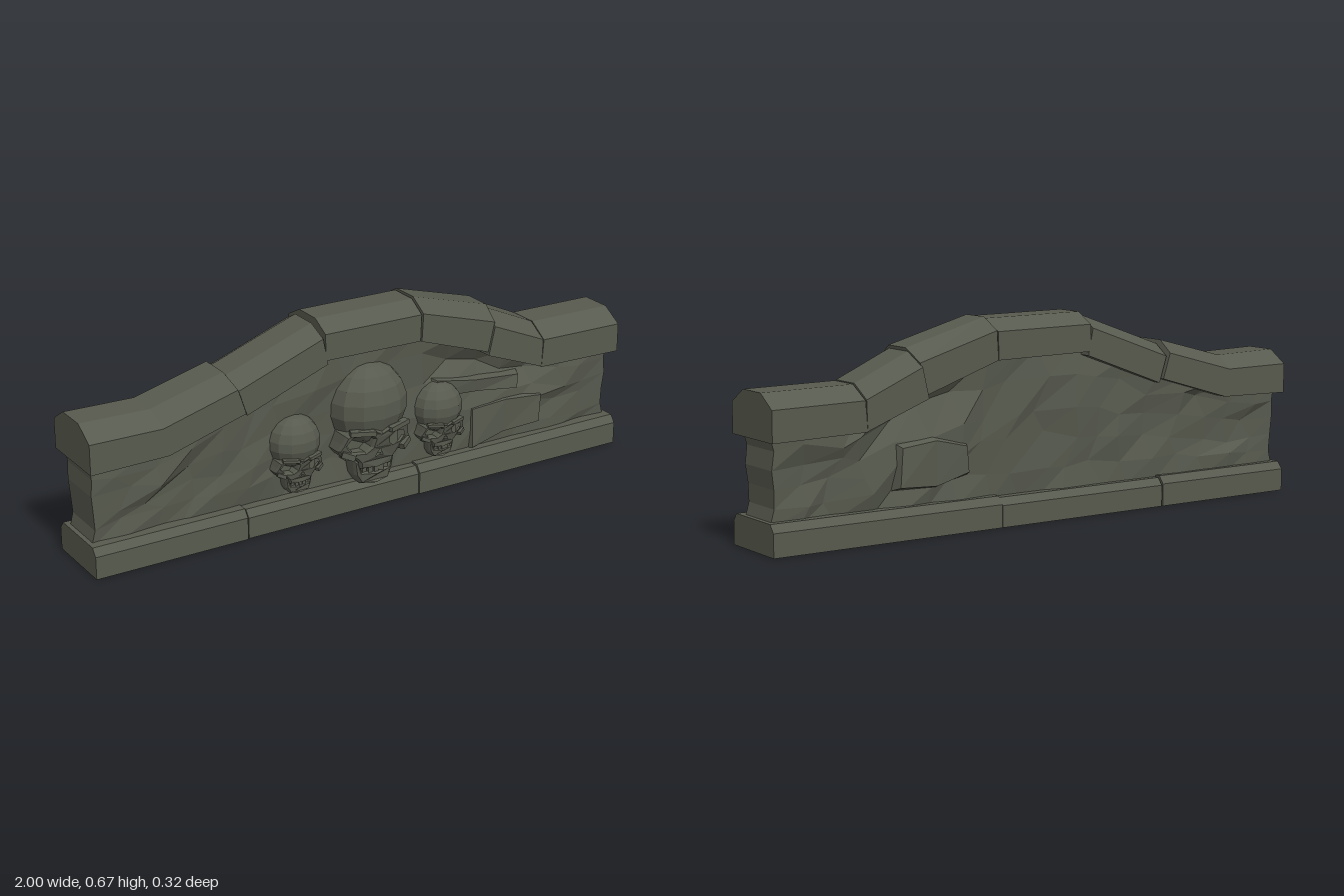
import * as THREE from 'three';

const stone = new THREE.MeshStandardMaterial({ color: 0x575a4e, flatShading: true });
stone.name = 'darkStone';

function add(parent, name, geometry) {
  const mesh = new THREE.Mesh(geometry, stone);
  mesh.name = name;
  parent.add(mesh);
  return mesh;
}

// Bevelled block lofted along x; each station is [topX, topY, bottomX, bottomY]
function bevelledBlock(stations, { front, back, topFront, topBack, bevel }) {
  const rings = stations.map(([tx, ty, bx, by]) =>
    [[front, 0], [back, 0], [back, bevel], [topBack, 1], [topFront, 1], [front, bevel]]
      .map(([z, t]) => [bx + (tx - bx) * t, by + (ty - by) * t, z]));
  const pos = [];
  const tri = (a, b, c) => pos.push(...a, ...b, ...c);
  for (let r = 0; r < rings.length - 1; r++) {
    const a = rings[r], b = rings[r + 1];
    for (let i = 0; i < 6; i++) {
      const j = (i + 1) % 6;
      tri(a[i], a[j], b[i]);
      tri(a[j], b[j], b[i]);
    }
  }
  const first = rings[0], last = rings[rings.length - 1];
  for (let k = 1; k < 5; k++) {
    tri(first[0], first[k + 1], first[k]);
    tri(last[0], last[k], last[k + 1]);
  }
  const g = new THREE.BufferGeometry();
  g.setAttribute('position', new THREE.Float32BufferAttribute(pos, 3));
  g.computeVertexNormals();
  return g;
}

// Repeatable noise in -1..1
function noise(a, b, c) {
  const s = Math.sin(a * 12.99 + b * 78.23 + c * 37.72) * 43758.55;
  return (s - Math.floor(s)) * 2 - 1;
}

// Height of the wall top, hidden inside the coping
function wallTop(x) {
  const p = [[-1, 0.37], [-0.74, 0.38], [-0.47, 0.45], [-0.16, 0.56], [0.2, 0.56], [0.46, 0.47], [0.68, 0.38], [1.01, 0.37]];
  let i = 0;
  while (i < p.length - 2 && x > p[i + 1][0]) i++;
  const t = (x - p[i][0]) / (p[i + 1][0] - p[i][0]);
  return p[i][1] + (p[i + 1][1] - p[i][1]) * t;
}

// Rough hewn wall with a broken pocket on its left half
function wallGeometry() {
  const g = new THREE.BoxGeometry(1.98, 1, 2, 18, 5, 2);
  const p = g.attributes.position;
  for (let i = 0; i < p.count; i++) {
    let x = p.getX(i);
    const v = p.getY(i) + 0.5, side = Math.round(p.getZ(i));
    const col = Math.round((x / 1.98 + 0.5) * 18), row = Math.round(v * 5);
    const inner = col > 0 && col < 18;
    const mid = row > 0 && row < 5;
    if (inner) x += 0.035 * noise(col, row, side);
    else if (mid) x -= Math.sign(x) * (0.012 + 0.008 * noise(col, row, 4));
    let y = 0.08 + v * (wallTop(x) - 0.08);
    if (inner && mid) y += 0.02 * noise(row, col, side + 5);
    let z = side > 0 ? 0.045 + 0.01 * v : side < 0 ? -0.113 - 0.007 * v : -0.03;
    if (inner && side) z += (side > 0 ? 0.011 : 0.014) * noise(col, row, side + 9);
    if (x > 0.28 && x < 0.68 && row === 4 && side) z -= side * 0.035;
    p.setXYZ(i, x, y, z);
  }
  g.computeVertexNormals();
  return g;
}

// Irregular rock from a box, tapered towards its outer face
function rock(w, h, d, seed) {
  const g = new THREE.BoxGeometry(w, h, d, 2, 1, 1);
  const p = g.attributes.position;
  for (let i = 0; i < p.count; i++) {
    const x = p.getX(i), y = p.getY(i), z = p.getZ(i);
    const a = Math.round(x / w * 2), b = Math.sign(y), c = Math.sign(z);
    p.setXYZ(i, x * (c > 0 ? 0.9 : 1) + w * 0.06 * noise(a, b, seed),
      y * (c > 0 ? 0.8 : 1) + h * 0.14 * noise(b, a, seed + 2), z + d * 0.12 * noise(a, b, c + seed));
  }
  g.computeVertexNormals();
  return g;
}

// Closed symmetric outline from its right half, top to bottom
function mirroredShape(half) {
  const left = half.filter(([x]) => x > 0).map(([x, y]) => [-x, y]).reverse();
  return new THREE.Shape([...half, ...left].map(([x, y]) => new THREE.Vector2(x, y)));
}

// Extrude a face piece, then curve it back at the sides and slope it in below
function facePiece(shape, depth, slope, curve) {
  const g = new THREE.ExtrudeGeometry(shape, {
    depth, bevelEnabled: true, bevelSize: 0.006, bevelThickness: 0.01, bevelOffset: -0.006, bevelSegments: 1,
  });
  const p = g.attributes.position;
  for (let i = 0; i < p.count; i++) {
    const x = p.getX(i), y = p.getY(i), z = p.getZ(i);
    if (z > depth / 2) p.setZ(i, z + (y - 0.25) * slope - x * x * curve);
  }
  g.translate(0, 0, 0.04);
  g.computeVertexNormals();
  return g;
}

function createSkull(name) {
  const skull = new THREE.Group();
  skull.name = name;

  // Cranium
  const cranium = new THREE.SphereGeometry(1, 12, 9);
  cranium.scale(0.14, 0.14, 0.112);
  add(skull, 'cranium', cranium).position.set(0.003, 0.355, 0.048);

  // Face with open eye sockets and nose
  const face = mirroredShape([[0, 0.285], [0.03, 0.298], [0.08, 0.3], [0.118, 0.28], [0.127, 0.25],
    [0.137, 0.225], [0.118, 0.2], [0.08, 0.192], [0.064, 0.175], [0.058, 0.15], [0, 0.146]]);
  for (const s of [-1, 1]) {
    const eye = [[0.025, 0.262], [0.055, 0.28], [0.096, 0.272], [0.11, 0.245], [0.09, 0.218], [0.05, 0.215], [0.03, 0.232]];
    face.holes.push(new THREE.Path(eye.map(([x, y]) => new THREE.Vector2(x * s, y))));
  }
  face.holes.push(new THREE.Path([[0, 0.232], [0.014, 0.21], [0.022, 0.187], [0, 0.193], [-0.022, 0.187], [-0.014, 0.21]]
    .map(([x, y]) => new THREE.Vector2(x, y))));
  add(skull, 'face', facePiece(face, 0.095, 0.25, 2));

  // Back of the nose and lower sockets
  add(skull, 'socketBack', new THREE.BoxGeometry(0.2, 0.09, 0.04)).position.set(0, 0.225, 0.065);

  // Cheekbones and brows
  for (const s of [-1, 1]) {
    const cheek = add(skull, 'cheekbone', new THREE.BoxGeometry(0.045, 0.02, 0.03));
    cheek.position.set(s * 0.105, 0.212, 0.112);
    cheek.rotation.set(0, s * 0.5, s * 0.35);
    const brow = add(skull, 'brow', new THREE.BoxGeometry(0.085, 0.016, 0.025));
    brow.position.set(s * 0.067, 0.29, 0.138);
    brow.rotation.set(0, s * 0.3, s * 0.06);
  }

  // Lower jaw and teeth
  const jaw = mirroredShape([[0, 0.134], [0.05, 0.137], [0.062, 0.175], [0.077, 0.18], [0.07, 0.125], [0.052, 0.095], [0, 0.09]]);
  add(skull, 'jaw', facePiece(jaw, 0.09, 0.14, 5));
  for (let i = -2; i <= 2; i++) {
    add(skull, 'tooth', new THREE.BoxGeometry(0.017, 0.024, 0.03))
      .position.set(i * 0.02, 0.142, 0.1 - i * i * 0.0025);
  }
  return skull;
}

export function createModel() {
  const model = new THREE.Group();
  model.name = 'skullWall';

  // Plinth of three stones
  [[-1, -0.47, 0.1, 0], [-0.465, 0.18, 0.095, -0.004], [0.182, 1, 0.1, 0]].forEach(([a, b, h, dz]) => {
    add(model, 'plinthStone', bevelledBlock([[a, h, a, 0], [b, h, b, 0]],
      { front: 0.097 + dz, back: -0.157, topFront: 0.078 + dz, topBack: -0.137, bevel: 0.75 }));
  });

  // Wall and broken stones
  add(model, 'wall', wallGeometry());
  const low = add(model, 'brokenStone', rock(0.3, 0.16, 0.05, 3));
  low.position.set(0.56, 0.185, 0.038);
  const ledge = add(model, 'brokenStone', rock(0.34, 0.06, 0.04, 6));
  ledge.position.set(0.43, 0.325, 0.04);
  ledge.rotation.z = -0.12;
  const rear = add(model, 'brokenStone', rock(0.26, 0.14, 0.04, 8));
  rear.position.set(0.42, 0.23, -0.118);
  rear.rotation.y = Math.PI;

  // Coping stones along the arched top
  const wide = { front: 0.093, back: -0.16, topFront: 0.02, topBack: -0.09, bevel: 0.69 };
  const slim = { front: 0.08, back: -0.152, topFront: 0.018, topBack: -0.082, bevel: 0.71 };
  [
    [[[-1, 0.49, -1, 0.345], [-0.76, 0.485, -0.735, 0.35], [-0.505, 0.553, -0.465, 0.43]], wide],
    [[[-0.495, 0.54, -0.455, 0.417], [-0.185, 0.652, -0.16, 0.527]], slim],
    [[[-0.17, 0.665, -0.168, 0.54], [0.195, 0.663, 0.19, 0.535]], slim],
    [[[0.2, 0.668, 0.192, 0.535], [0.492, 0.588, 0.458, 0.445]], { ...slim, front: 0.085 }],
    [[[0.488, 0.578, 0.455, 0.435], [0.68, 0.492, 0.675, 0.352]], wide],
    [[[0.685, 0.49, 0.675, 0.35], [1, 0.487, 1, 0.343]], wide],
  ].forEach(([stations, section]) => add(model, 'copingStone', bevelledBlock(stations, section)));

  // Three skulls on the front
  model.add(createSkull('largeSkull'));
  for (const s of [-1, 1]) {
    const small = createSkull('smallSkull');
    small.scale.set(0.64, 0.63, 0.7);
    small.position.set(s * 0.275, 0.058, 0.015);
    model.add(small);
  }
  return model;
}
